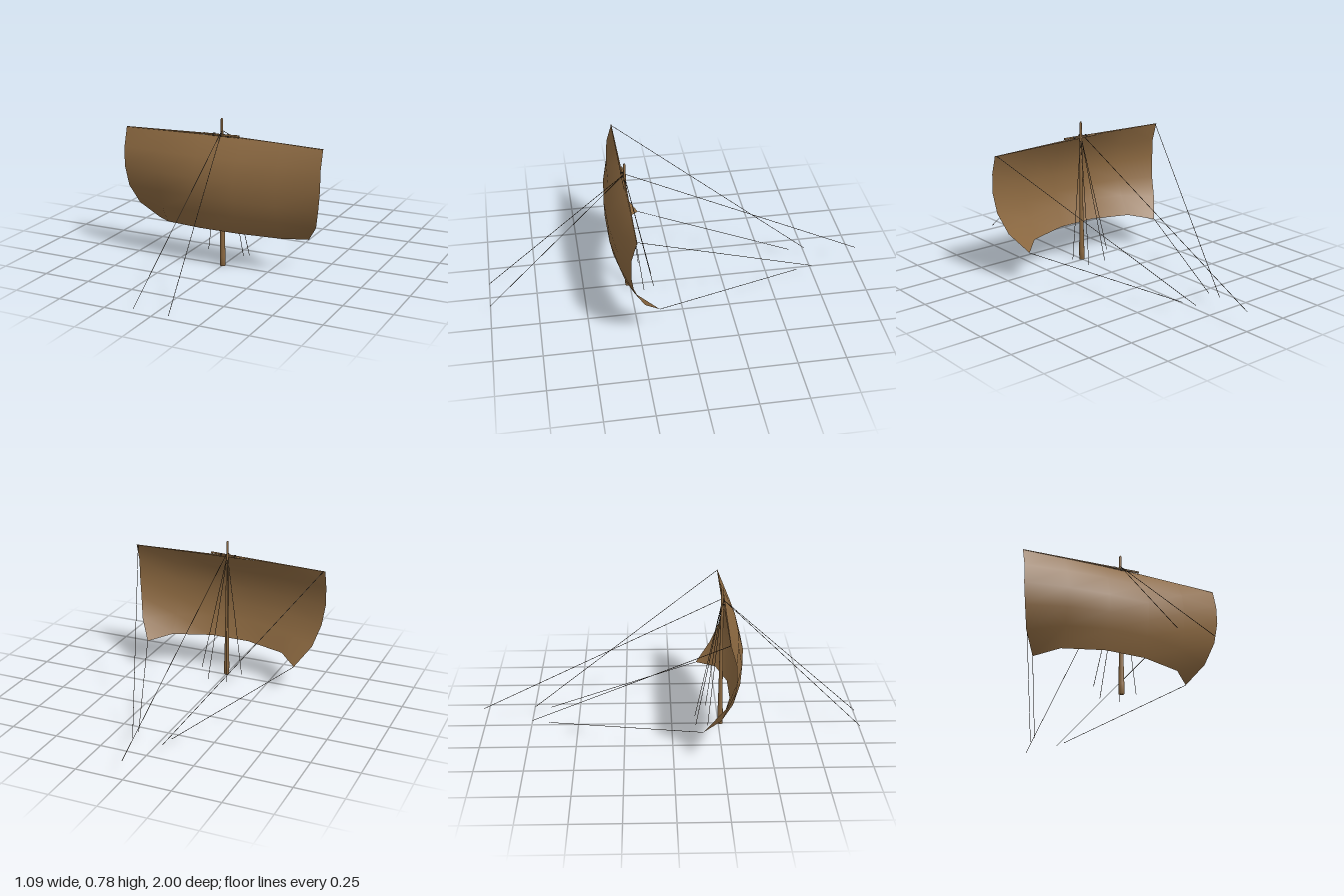
import * as THREE from 'three';

const wood = new THREE.MeshStandardMaterial({ color: 0x8b6840 });
const cloth = new THREE.MeshStandardMaterial({ color: 0x8b6840, side: THREE.DoubleSide });
const hemp = new THREE.MeshStandardMaterial({ color: 0x2c2218 });
const MAST_Z = 0.26;

// Tapered round bar between two points
function bar(name, a, b, ra, rb, material, sides = 8) {
  const from = new THREE.Vector3(...a), to = new THREE.Vector3(...b);
  const dir = to.clone().sub(from);
  const mesh = new THREE.Mesh(new THREE.CylinderGeometry(rb, ra, dir.length(), sides), material);
  mesh.position.copy(from).add(to).multiplyScalar(0.5);
  mesh.quaternion.setFromUnitVectors(new THREE.Vector3(0, 1, 0), dir.normalize());
  mesh.name = name;
  return mesh;
}

const rope = (name, a, b) => bar(name, a, b, 0.0014, 0.0014, hemp, 5);

// Square sail: rows blend from the bellied middle to the pulled-in side edge
function makeSail() {
  const middle = [[0.686, 0.27], [0.588, 0.338], [0.48, 0.366], [0.385, 0.363], [0.3, 0.348], [0.201, 0.307]]; // y, z
  const edge = [[0.545, 0.68, 0.268], [0.545, 0.58, 0.297], [0.545, 0.48, 0.3],
    [0.531, 0.37, 0.284], [0.5, 0.264, 0.23], [0.43, 0.168, 0.147]]; // x, y, z
  const columns = 5;
  const positions = [], index = [];
  middle.forEach(([my, mz], r) => {
    const [ex, ey, ez] = edge[r];
    for (let c = 0; c <= columns; c++) {
      const u = c / columns * 2 - 1, w = u * u;
      const x = Math.abs(u) > 0.99 ? ex * u : 0.54 * u;
      positions.push(x, my + (ey - my) * w, mz + (ez - mz) * w);
      if (r < middle.length - 1 && c < columns) {
        const a = r * (columns + 1) + c, b = a + columns + 1;
        index.push(a, b, a + 1, a + 1, b, b + 1);
      }
    }
  });
  const geometry = new THREE.BufferGeometry();
  geometry.setAttribute('position', new THREE.Float32BufferAttribute(positions, 3));
  geometry.setIndex(index);
  geometry.computeVertexNormals();
  const sail = new THREE.Mesh(geometry, cloth);
  sail.name = 'sail';
  return sail;
}

export function createModel() {
  const model = new THREE.Group();
  model.name = 'mastAndSail';

  // Mast, thick at the foot and slim above the yard
  const profile = [[0, 0], [0.014, 0], [0.0145, 0.05], [0.011, 0.22], [0.008, 0.55], [0.006, 0.77], [0.004, 0.776], [0, 0.776]];
  const mast = new THREE.Mesh(
    new THREE.LatheGeometry(profile.map(([r, y]) => new THREE.Vector2(r, y)), 12), wood);
  mast.position.z = MAST_Z;
  mast.name = 'mast';
  model.add(mast, makeSail());

  // Yard made of two overlapping tapered spars lashed together
  model.add(bar('yardRightSpar', [0.1, 0.696, 0.272], [-0.545, 0.679, 0.268], 0.0055, 0.002, wood));
  model.add(bar('yardLeftSpar', [-0.1, 0.69, 0.264], [0.545, 0.679, 0.268], 0.0055, 0.002, wood));
  for (const x of [-0.04, 0, 0.04]) {
    const lashing = bar('yardLashing', [x - 0.004, 0.692, 0.268], [x + 0.004, 0.692, 0.268], 0.009, 0.009, hemp);
    model.add(lashing);
  }

  // Rigging mirrored on both sides
  for (const s of [-1, 1]) {
    model.add(
      rope('forestay', [0, 0.715, MAST_Z], [s * 0.093, 0.02, 1]),
      rope('brace', [s * 0.535, 0.68, 0.266], [s * 0.08, 0.068, -0.735]),
      rope('sheet', [s * 0.43, 0.168, 0.147], [s * 0.09, 0.06, -0.65]),
      rope('forwardShroud', [0, 0.7, MAST_Z], [s * 0.118, 0.047, 0.187]),
      rope('aftShroud', [0, 0.7, MAST_Z], [s * 0.055, 0.016, 0.127]));
  }
  model.add(rope('backstay', [0, 0.715, MAST_Z], [0, 0.1, -1]));
  return model;
}
